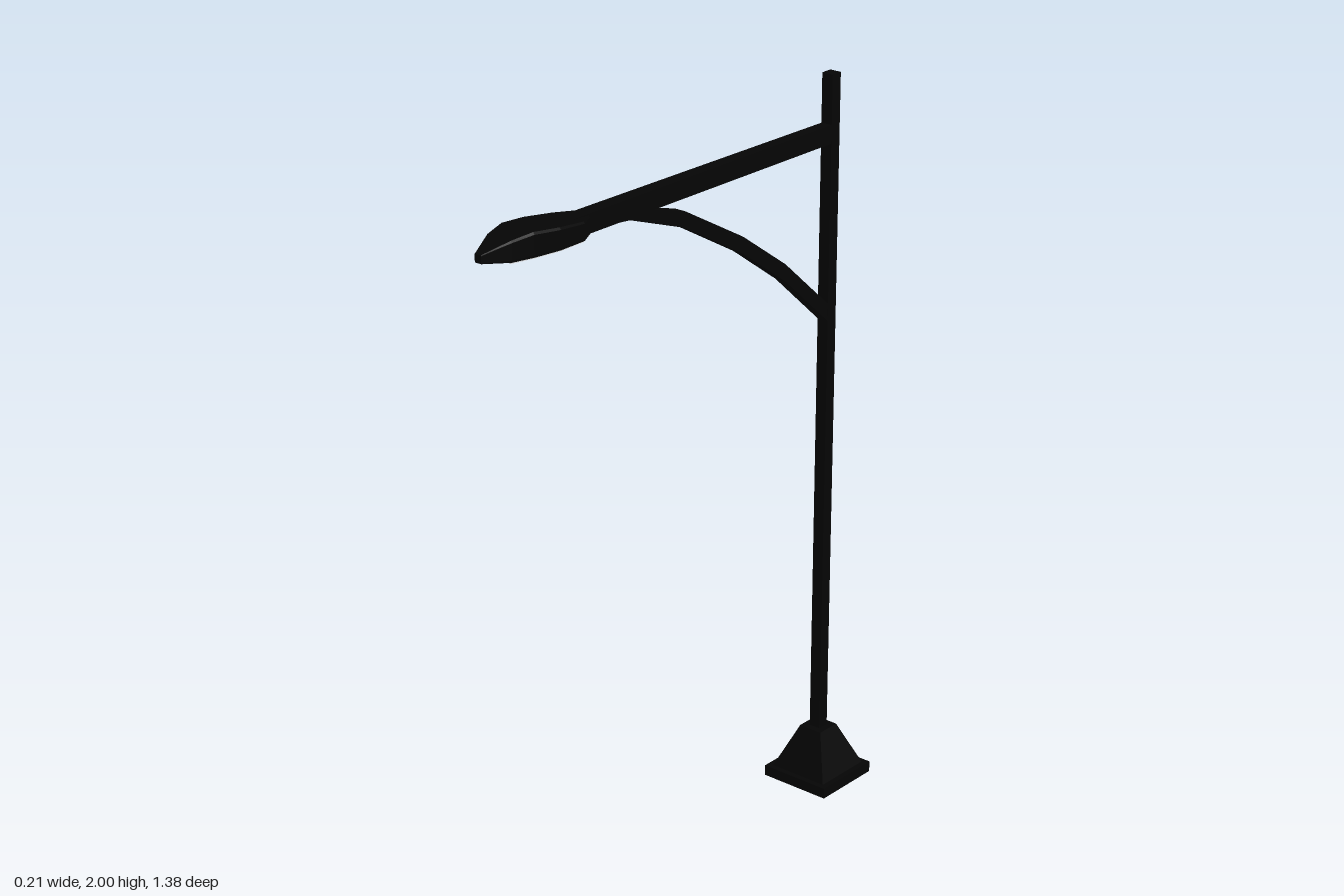
import * as THREE from 'three';

const POLE_Z = -0.585, HEAD_X = -0.008;

// Faceted normals for every part
function faceted(geometry) {
  const g = geometry.index ? geometry.toNonIndexed() : geometry;
  g.computeVertexNormals();
  return g;
}

// Skin a list of equal-sized rings running towards +z, with closed ends
function loft(rings) {
  const n = rings[0].length, index = [];
  for (let i = 0; i < rings.length - 1; i++) {
    for (let j = 0; j < n; j++) {
      const a = i * n + j, b = i * n + (j + 1) % n;
      index.push(a, b, b + n, a, b + n, a + n);
    }
  }
  const last = (rings.length - 1) * n;
  for (let j = 1; j < n - 1; j++) {
    index.push(0, j + 1, j, last, last + j, last + j + 1);
  }
  const g = new THREE.BufferGeometry();
  g.setAttribute('position', new THREE.Float32BufferAttribute(rings.flat(2), 3));
  g.setIndex(index);
  return faceted(g);
}

// Rectangular ring centred on x
const box = (x, z, w, low, high) =>
  [[x - w, low, z], [x + w, low, z], [x + w, high, z], [x - w, high, z]];

export function createModel() {
  const model = new THREE.Group();
  model.name = 'streetLamp';
  const black = new THREE.MeshStandardMaterial({ color: 0x050505 });
  black.name = 'black metal';
  const white = new THREE.MeshStandardMaterial({ color: 0xe0e0e0 });
  white.name = 'lens white';

  function add(name, geometry, material, x = 0, y = 0, z = 0) {
    const mesh = new THREE.Mesh(geometry, material);
    mesh.name = name;
    mesh.position.set(x, y, z);
    model.add(mesh);
  }

  // Base plate and tapered foot
  add('basePlate', new THREE.BoxGeometry(0.206, 0.03, 0.204), black, 0, 0.015, POLE_Z);
  const foot = new THREE.CylinderGeometry(0.035 * Math.SQRT2, 0.087 * Math.SQRT2, 0.122, 4);
  foot.rotateY(Math.PI / 4);
  add('foot', faceted(foot), black, 0, 0.091, POLE_Z);

  // Square upright pole
  add('pole', new THREE.BoxGeometry(0.033, 1.86, 0.033), black, 0, 1.07, POLE_Z);

  // Horizontal square arm, drifting slightly sideways to the lamp head
  add('arm', loft([
    box(0, POLE_Z, 0.016, 1.82, 1.869),
    box(-0.005, 0.4, 0.021, 1.82, 1.869),
  ]), black);

  // Curved brace under the arm: z, centre height, half height
  const brace = [
    [-0.585, 1.352, 0.024], [-0.39, 1.524, 0.023], [-0.22, 1.643, 0.022],
    [0, 1.766, 0.021], [0.2, 1.83, 0.014], [0.34, 1.845, 0.014],
  ];
  add('brace', loft(brace.map(([z, y, h]) => box(0, z, 0.016, y - h, y + h))), black);

  // Lamp head: z, half width, bottom, top
  const sections = [
    [0.335, 0.022, 1.82, 1.866],
    [0.39, 0.053, 1.821, 1.868],
    [0.48, 0.061, 1.824, 1.879],
    [0.56, 0.053, 1.826, 1.887],
    [0.62, 0.039, 1.827, 1.879],
    [0.69, 0.01, 1.836, 1.857],
  ];
  const outline = [[-0.97, 0], [0.97, 0], [1, 0.1], [1, 0.9],
    [0.93, 1], [-0.93, 1], [-1, 0.9], [-1, 0.1]];
  add('lampHead', loft(sections.map(([z, w, low, high]) =>
    outline.map(([u, v]) => [u * w, low + v * (high - low), z]))), black, HEAD_X);

  // Lens plate following the underside of the head, short of its tip
  add('lens', loft(sections.slice(0, 5).map(([z, w, low]) =>
    box(0, z, 0.92 * w, low - 0.003, low + 0.001))), white, HEAD_X);

  return model;
}
